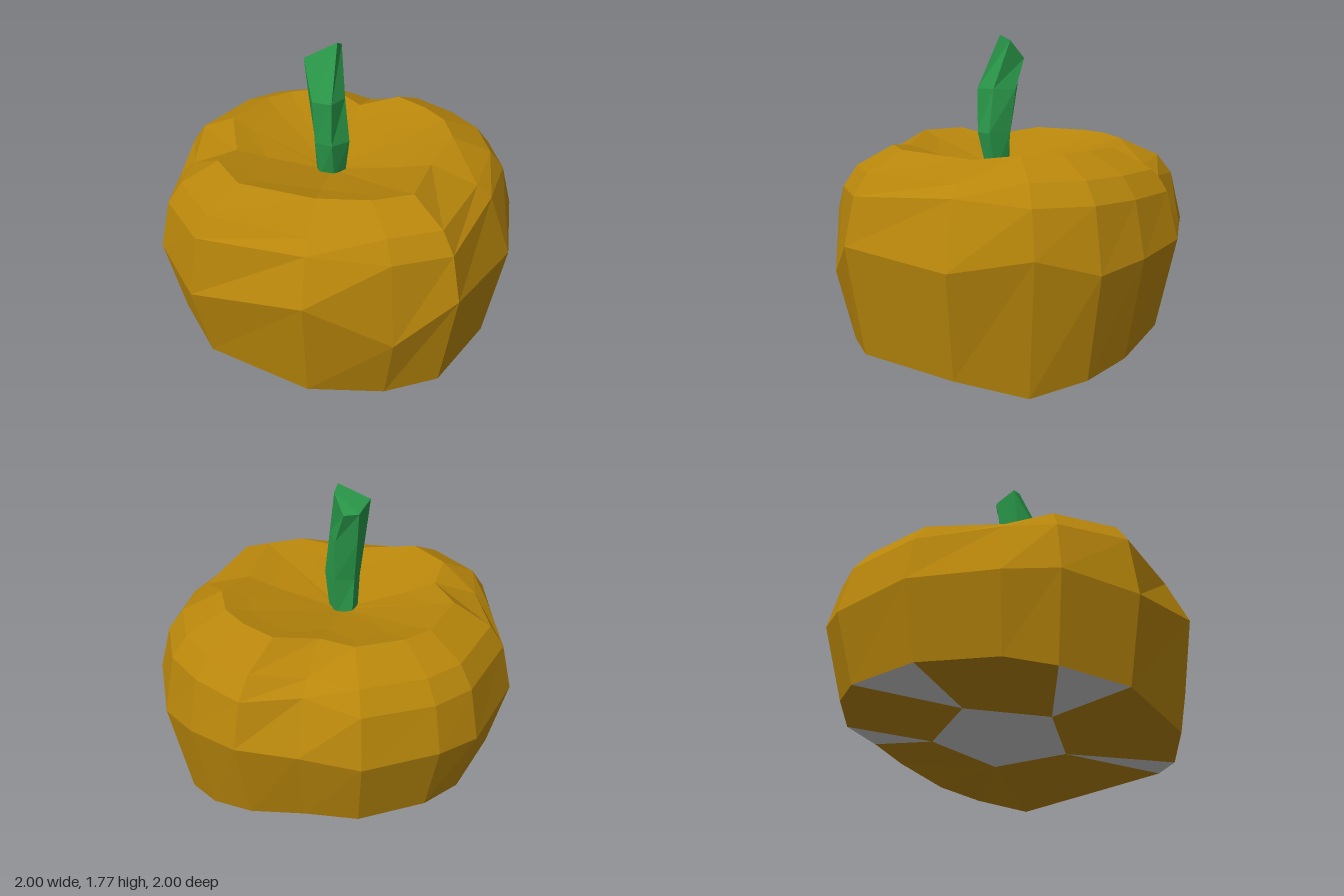
import * as THREE from 'three';

// Flat-shaded mesh from a list of [x, y, z] points and triangle indices
function facetedMesh(name, points, faces, color) {
  const geometry = new THREE.BufferGeometry();
  geometry.setAttribute('position', new THREE.Float32BufferAttribute(points.flat(), 3));
  geometry.setIndex(faces);
  const flat = geometry.toNonIndexed();
  flat.computeVertexNormals();
  const material = new THREE.MeshStandardMaterial({ color, flatShading: true, side: THREE.DoubleSide });
  const mesh = new THREE.Mesh(flat, material);
  mesh.name = name;
  return mesh;
}

// Triangles joining stacked rings of n points, lowest ring first
function joinRings(rings, n) {
  const faces = [];
  for (let r = 0; r < rings - 1; r++) {
    for (let i = 0; i < n; i++) {
      const j = (i + 1) % n;
      const a = r * n + i, b = r * n + j, c = a + n, d = b + n;
      faces.push(a, c, b, b, c, d);
    }
  }
  return faces;
}

// Widest outline of the pumpkin, as x, z
const OUTLINE = [
  [-0.28, -1], [0.04, -0.98], [0.37, -0.96], [0.65, -0.79], [0.85, -0.59], [0.97, -0.28],
  [1, 0.14], [0.79, 0.71], [0.49, 0.87], [0.05, 1], [-0.59, 0.87],
  [-0.87, 0.57], [-0.96, 0.3], [-1, -0.18], [-0.83, -0.65], [-0.65, -0.83],
];
const RIM_Y = [0.29, 0.27, 0.23, 0.13, 0.07, 0, 0.08, 0.12, 0.1, 0.14, 0.2, 0.25, 0.3, 0.32, 0.32, 0.31];
const BELLY_Y = [0.7, 0.72, 0.72, 0.68, 0.64, 0.73, 0.66, 0.72, 0.5, 0.76, 0.64, 0.7, 0.7, 0.72, 0.7, 0.72];
const GROOVES = [1, 6, 9, 12];

function createBody() {
  const n = OUTLINE.length;
  const points = [];
  const ring = (scale, height, grooveScale = scale, grooveDrop = 0) => {
    OUTLINE.forEach(([x, z], i) => {
      const groove = GROOVES.includes(i);
      const s = groove ? grooveScale : scale;
      const y = Array.isArray(height) ? height[i] : height;
      // rings drift towards the stem as they shrink
      points.push([x * s - 0.03 * (1 - s), y - (groove ? grooveDrop : 0), z * s + 0.05 * (1 - s)]);
    });
  };
  ring(0.9, RIM_Y);
  ring(1, BELLY_Y);
  ring(0.94, 0.97, 0.88, -0.03);
  ring(0.86, 1.08, 0.8, 0.02);
  ring(0.65, 1.18, 0.55, 0.04);
  ring(0.52, 1.14, 0.38, 0.05);
  ring(0.06, 1.02);
  const faces = joinRings(7, n);

  // Underside: five flaps from the rim to a five-sided centre plate
  const first = points.length;
  for (let k = 0; k < 5; k++) {
    const t = THREE.MathUtils.degToRad(-99 + 72 * k);
    const x = 0.39 * Math.cos(t) - 0.05;
    points.push([x, 0.18 - 0.14 * x, 0.39 * Math.sin(t) - 0.05]);
  }
  const flaps = [[1, 4], [4, 7], [8, 10], [11, 13], [14, 16]];
  flaps.forEach(([from, to], k) => {
    const p = first + k, q = first + (k + 1) % 5;
    const mid = Math.floor((from + to) / 2);
    for (let i = from; i < to; i++) faces.push(i < mid ? p : q, i, (i + 1) % n);
    faces.push(p, mid, q);
  });

  // Centre plate with narrow wedges running out between the flaps
  const plate = [];
  for (let k = 1; k < 4; k++) plate.push(first, first + k, first + k + 1);
  flaps.forEach(([from], k) => {
    if (k !== 1) plate.push(first + k, from - 1, from);
  });

  const body = new THREE.Group();
  body.name = 'pumpkinBody';
  body.add(
    facetedMesh('pumpkinSkin', points, faces, 0xb8860b),
    facetedMesh('basePlate', points, plate, 0xcccccc),
  );
  return body;
}

function createStem() {
  // Six-sided sections, lowest first, ending in a slanted cut
  const level = (y, section) => section.map(([x, z]) => [x, y, z]);
  const points = [
    ...level(1.0, [[0.05, 0.06], [0, 0.12], [-0.08, 0.12], [-0.11, 0.07], [-0.09, 0], [0, 0]]),
    ...level(1.22, [[0.08, 0.09], [0, 0.17], [-0.1, 0.15], [-0.12, 0.08], [-0.1, 0], [0.01, -0.02]]),
    ...level(1.47, [[0.05, 0.07], [0, 0.17], [-0.11, 0.16], [-0.15, 0.08], [-0.12, -0.04], [0, -0.05]]),
    [0.01, 1.74, -0.02], [0, 1.77, 0.04], [-0.175, 1.68, 0.07],
    [-0.15, 1.66, 0], [-0.13, 1.64, -0.06], [-0.05, 1.64, -0.09],
  ];
  const faces = joinRings(4, 6);
  for (let i = 1; i < 5; i++) faces.push(18, 18 + i + 1, 18 + i);
  return facetedMesh('stem', points, faces, 0x2a9a4a);
}

export function createModel() {
  const group = new THREE.Group();
  group.name = 'pumpkin';
  group.add(createBody(), createStem());
  return group;
}
